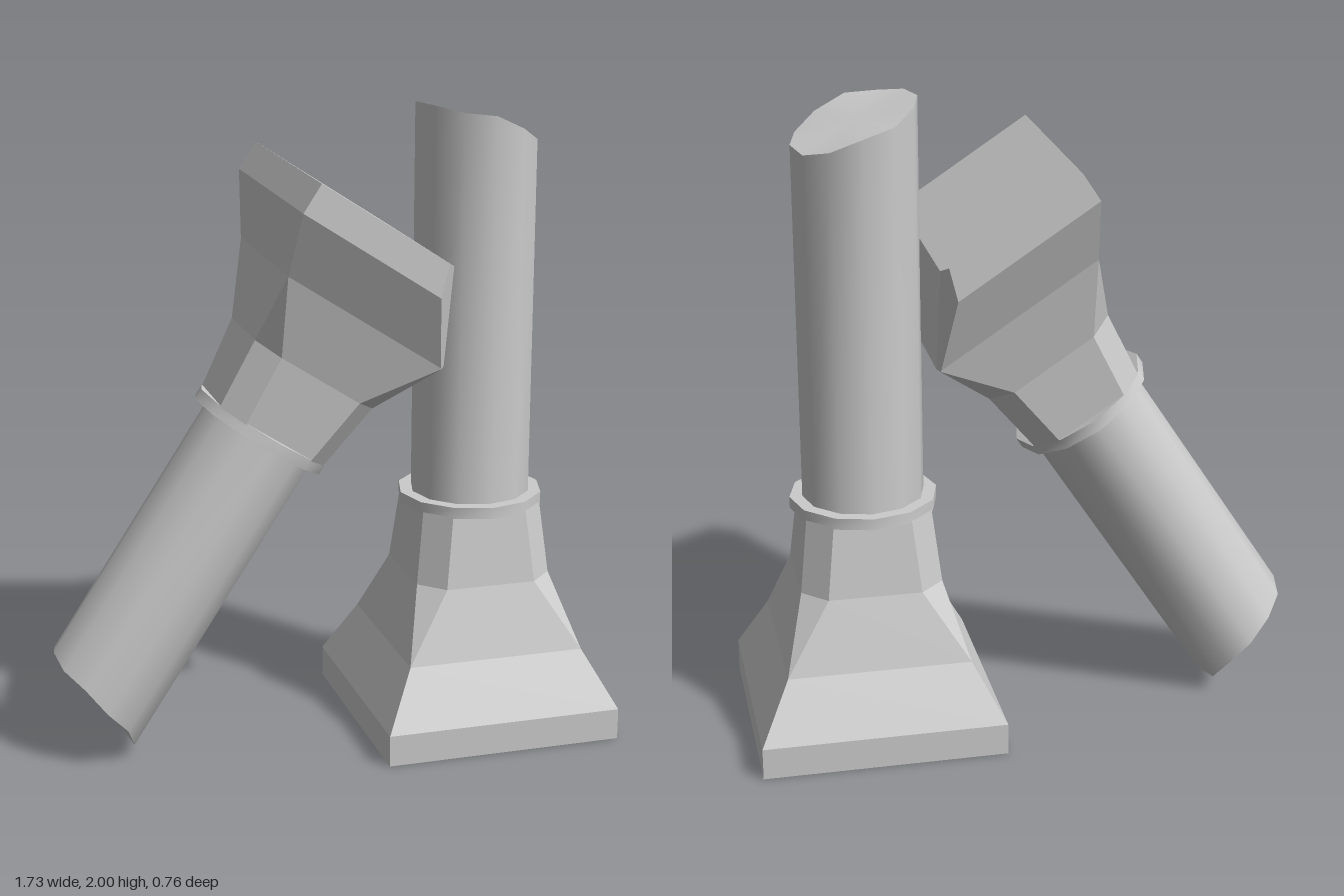
import * as THREE from 'three';
import { toCreasedNormals } from 'three/addons/utils/BufferGeometryUtils.js';

const SIDES = 12;
const smooth = new THREE.MeshStandardMaterial({ color: 0xcccccc });
const faceted = new THREE.MeshStandardMaterial({ color: 0xcccccc, flatShading: true, side: THREE.DoubleSide });

function mesh(name, geometry, material) {
  const m = new THREE.Mesh(geometry, material);
  m.name = name;
  return m;
}

function geometryFrom(triangles) {
  const g = new THREE.BufferGeometry().setFromPoints(triangles.flat());
  g.computeVertexNormals();
  return g;
}

// Flared plinth: square rings that turn into chamfered octagons
function plinthTriangles(closed) {
  const rings = [ // y, half width, half length of the flat side
    [0, 0.38, 0.38], [0.1, 0.38, 0.38], [0.28, 0.285, 0.285],
    [0.5, 0.22, 0.145], [0.73, 0.194, 0.12],
  ].map(([y, h, f]) =>
    [[h, -f], [h, f], [f, h], [-f, h], [-h, f], [-h, -f], [-f, -h], [f, -h]]
      .map(([x, z]) => new THREE.Vector3(x, y, z)));
  const tris = [];
  const add = (a, b, c) => {
    if (new THREE.Triangle(a, b, c).getArea() > 1e-7) tris.push([a, b, c]);
  };
  for (let r = 0; r < rings.length - 1; r++) {
    for (let i = 0; i < 8; i++) {
      const j = (i + 1) % 8, lo = rings[r], hi = rings[r + 1];
      add(lo[i], hi[i], hi[j]);
      add(lo[i], hi[j], lo[j]);
    }
  }
  if (closed) {
    const b = rings[0];
    for (let i = 1; i < 7; i++) add(b[0], b[i], b[i + 1]);
  }
  return tris;
}

// Cuts away everything in front of a plane and closes the cut with a fan
function cut(triangles, normal, point) {
  const plane = new THREE.Plane().setFromNormalAndCoplanarPoint(normal.clone().normalize(), point);
  const out = [], edge = [];
  for (const t of triangles) {
    const poly = [];
    t.forEach((a, i) => {
      const b = t[(i + 1) % 3];
      const da = plane.distanceToPoint(a), db = plane.distanceToPoint(b);
      if (da <= 0) poly.push(a);
      if (da * db < 0) {
        const p = a.clone().lerp(b, da / (da - db));
        poly.push(p);
        edge.push(p);
      }
    });
    for (let i = 1; i < poly.length - 1; i++) out.push([poly[0], poly[i], poly[i + 1]]);
  }
  if (edge.length < 3) return out;
  const centre = edge.reduce((s, p) => s.add(p), new THREE.Vector3()).divideScalar(edge.length);
  const u = new THREE.Vector3(0, 1, 0).projectOnPlane(plane.normal).normalize();
  const v = plane.normal.clone().cross(u);
  const angle = (p) => {
    const d = p.clone().sub(centre);
    return Math.atan2(d.dot(v), d.dot(u));
  };
  edge.sort((a, b) => angle(a) - angle(b));
  edge.forEach((p, i) => {
    const q = edge[(i + 1) % edge.length];
    if (p.distanceTo(q) > 1e-5) out.push([centre, p, q]);
  });
  return out;
}

// Shaft with a broken end: one height for every 30 degrees from +x towards +z
function shaft(heights) {
  const bottom = 0.72;
  const g = new THREE.CylinderGeometry(0.19, 0.19, 1, SIDES, 1);
  g.rotateY(Math.PI / 2);
  const p = g.attributes.position;
  const mean = heights.reduce((a, b) => a + b) / SIDES;
  for (let i = 0; i < p.count; i++) {
    const x = p.getX(i), z = p.getZ(i);
    const step = Math.round(Math.atan2(z, x) / (Math.PI / 6) + SIDES) % SIDES;
    const top = Math.hypot(x, z) < 0.01 ? mean : heights[step];
    p.setY(i, p.getY(i) > 0 ? top : bottom);
  }
  return mesh('brokenShaft', toCreasedNormals(g, 0.75), smooth);
}

function collar() {
  const g = new THREE.CylinderGeometry(0.23, 0.23, 0.036, SIDES);
  g.rotateY(Math.PI / 2);
  g.translate(0, 0.743, 0);
  return mesh('collar', toCreasedNormals(g, 0.75), smooth);
}

export function createModel() {
  const model = new THREE.Group();
  model.name = 'brokenColumns';

  // Standing column with a hollow plinth
  const standing = new THREE.Group();
  standing.name = 'standingColumn';
  standing.position.set(0.485, 0, 0);
  standing.add(
    mesh('plinth', geometryFrom(plinthTriangles(false)), faceted),
    collar(),
    shaft([1.87, 1.885, 1.93, 1.975, 1.985, 2, 2, 1.985, 1.945, 1.92, 1.88, 1.86]),
  );

  // Overturned column leaning beside it
  const leaning = new THREE.Group();
  leaning.name = 'leaningColumn';
  leaning.position.set(0.204, 1.628, 0);
  leaning.rotation.z = THREE.MathUtils.degToRad(146.7);
  leaning.updateMatrix();
  leaning.add(
    collar(),
    shaft([1.665, 1.678, 1.685, 1.715, 1.74, 1.79, 1.78, 1.79, 1.74, 1.71, 1.685, 1.675]),
  );

  // Its plinth is sheared off upright beside the standing shaft, with chipped corners
  let tris = plinthTriangles(true).map((t) => t.map((p) => p.clone().applyMatrix4(leaning.matrix)));
  for (const s of [1, -1]) {
    tris = cut(tris, new THREE.Vector3(1, -0.25, s), new THREE.Vector3(0.27, 1.56, 0.38 * s));
  }
  tris = cut(tris, new THREE.Vector3(1, 0, 0), new THREE.Vector3(0.297, 0, 0));
  const broken = geometryFrom(tris).applyMatrix4(leaning.matrix.clone().invert());
  leaning.add(mesh('brokenPlinth', broken, faceted));

  model.add(standing, leaning);
  return model;
}
